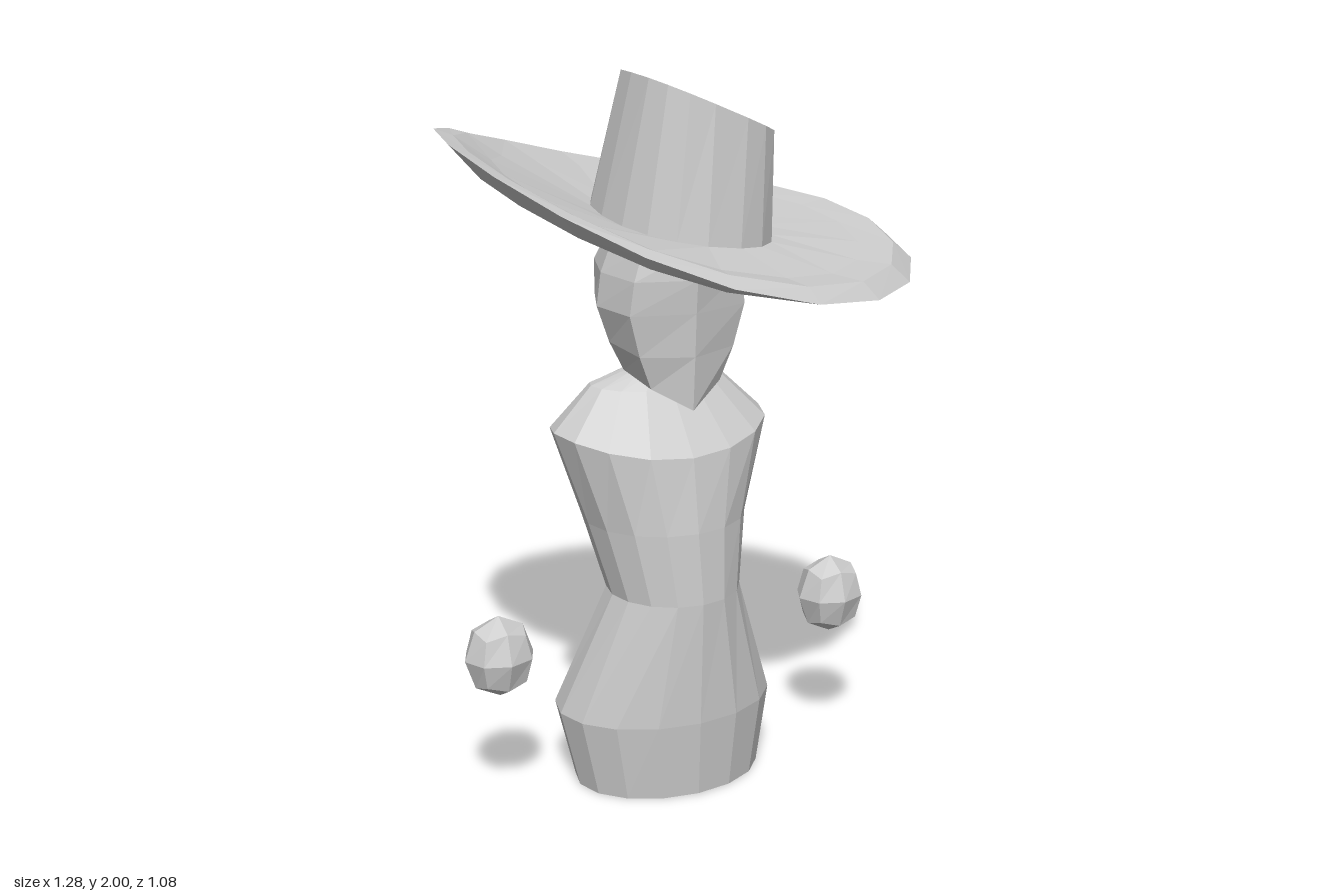
import * as THREE from 'three';

const material = new THREE.MeshStandardMaterial({ color: 0xcccccc, flatShading: true });

// Skin a stack of rings (bottom to top, each an array of [x, y, z]) and close both ends.
function loft(name, rings, bottomCentre, topCentre) {
  const n = rings[0].length;
  const pos = [];
  const tri = (...pts) => pts.forEach((p) => pos.push(...p));
  for (let i = 0; i < rings.length - 1; i++) {
    for (let j = 0; j < n; j++) {
      const k = (j + 1) % n;
      const a = rings[i][j], b = rings[i][k], c = rings[i + 1][j], d = rings[i + 1][k];
      tri(a, c, b);
      tri(b, c, d);
    }
  }
  const low = rings[0], high = rings[rings.length - 1];
  for (let j = 0; j < n; j++) {
    const k = (j + 1) % n;
    tri(bottomCentre, low[j], low[k]);
    tri(topCentre, high[k], high[j]);
  }
  const geometry = new THREE.BufferGeometry();
  geometry.setAttribute('position', new THREE.Float32BufferAttribute(pos, 3));
  geometry.computeVertexNormals();
  const mesh = new THREE.Mesh(geometry, material);
  mesh.name = name;
  return mesh;
}

// Oval between the given x and z limits; height(x, z, angle) gives y, power below 1 squares it off.
function ring(n, x0, x1, z0, z1, height, power = 1) {
  const bend = (t) => Math.sign(t) * Math.abs(t) ** power;
  return Array.from({ length: n }, (_, j) => {
    const a = (j / n) * Math.PI * 2;
    const x = (x0 + x1) / 2 + ((x1 - x0) / 2) * bend(Math.cos(a));
    const z = (z0 + z1) / 2 + ((z1 - z0) / 2) * bend(Math.sin(a));
    return [x, height(x, z, a), z];
  });
}

function createTorso() {
  // y, left and right limits, back and front limits, extra height at the sides
  const sections = [
    [0, -0.28, 0.26, -0.26, 0.145, 0],
    [0.22, -0.33, 0.3, -0.31, 0.165, 0],
    [0.57, -0.195, 0.175, -0.2, 0.17, 0],
    [0.77, -0.245, 0.21, -0.27, 0.155, 0],
    [0.975, -0.33, 0.295, -0.3, 0.125, 0.055],
    [1.135, -0.215, 0.175, -0.2, 0.005, 0.01],
    [1.175, -0.13, 0.08, -0.15, -0.03, 0],
  ];
  const rings = sections.map(([y, x0, x1, z0, z1, lift]) =>
    ring(16, x0, x1, z0, z1, (x, z, a) => y + lift * Math.cos(a) ** 2));
  return loft('torso', rings, [-0.01, 0, -0.06], [-0.02, 1.2, -0.07]);
}

function createHead() {
  // Wedge-fronted outline, from the left side round past the front
  const outline = [[1, 0], [0.86, 0.74], [0, 1], [-0.86, 0.74], [-1, 0], [-0.7, -0.75], [0, -1], [0.7, -0.75]];
  // y, half width, front, back, downward slope towards the face, drop of the chin point
  const sections = [
    [1.208, 0.118, 0.175, -0.15, 0.18, 0.052],
    [1.29, 0.16, 0.185, -0.165, 0.1, 0],
    [1.39, 0.195, 0.192, -0.185, 0, 0],
    [1.48, 0.183, 0.2, -0.21, 0, 0],
    [1.56, 0.15, 0.19, -0.16, 0, 0],
  ];
  const rings = sections.map(([y, w, front, back, slope, chin]) =>
    outline.map(([u, v]) => {
      const z = v > 0 ? v * front : -v * back;
      return [-0.045 + u * w, y - slope * z - (v === 1 ? chin : 0), z];
    }));
  return loft('head', rings, [-0.045, 1.2, 0], [-0.045, 1.57, 0]);
}

function createHat() {
  const n = 18;
  // Brim leans down to the front left and curls up on its right side
  const brimY = (x, z) => 1.58 - 0.27 * x + 0.23 * x * x - 0.145 * z;
  // One brim ring: size, offset from the rim surface, and how that offset grows towards the left
  const brim = (s, dy, tilt) =>
    ring(n, -0.64 * s, 0.64 * s, -0.55 * s, 0.545 * s, (x, z) => brimY(x, z) + dy + tilt * x, 0.95);
  const rings = [
    brim(0.45, -0.04, 0),
    brim(0.87, -0.025, 0.04),
    brim(1, 0, 0),
    brim(0.92, 0.026, 0.03),
    brim(0.77, 0.016, 0.05),
    ring(n, -0.22, 0.24, -0.26, 0.245, (x, z) => 1.595 - 0.15 * x - 0.1 * z, 0.9),
    ring(n, -0.145, 0.235, -0.172, 0.213, (x) => 1.932 - 0.45 * x, 0.8),
  ];
  return loft('hat', rings, [0, 1.53, 0], [0.045, 1.912, 0.02]);
}

// Floating hand: a subdivided cube rounded into a faceted ball
function createHand(name, x) {
  const geometry = new THREE.BoxGeometry(2, 2, 2, 2, 2, 2);
  const p = geometry.attributes.position;
  const v = new THREE.Vector3();
  for (let i = 0; i < p.count; i++) {
    v.fromBufferAttribute(p, i).normalize();
    p.setXYZ(i, v.x, v.y, v.z);
  }
  geometry.scale(0.099, 0.115, 0.089);
  geometry.computeVertexNormals();
  const hand = new THREE.Mesh(geometry, material);
  hand.name = name;
  hand.position.set(x, 0.448, -0.027);
  return hand;
}

export function createModel() {
  const model = new THREE.Group();
  model.name = 'hattedFigure';
  model.add(
    createTorso(),
    createHead(),
    createHat(),
    createHand('leftHand', 0.503),
    createHand('rightHand', -0.528),
  );
  return model;
}
